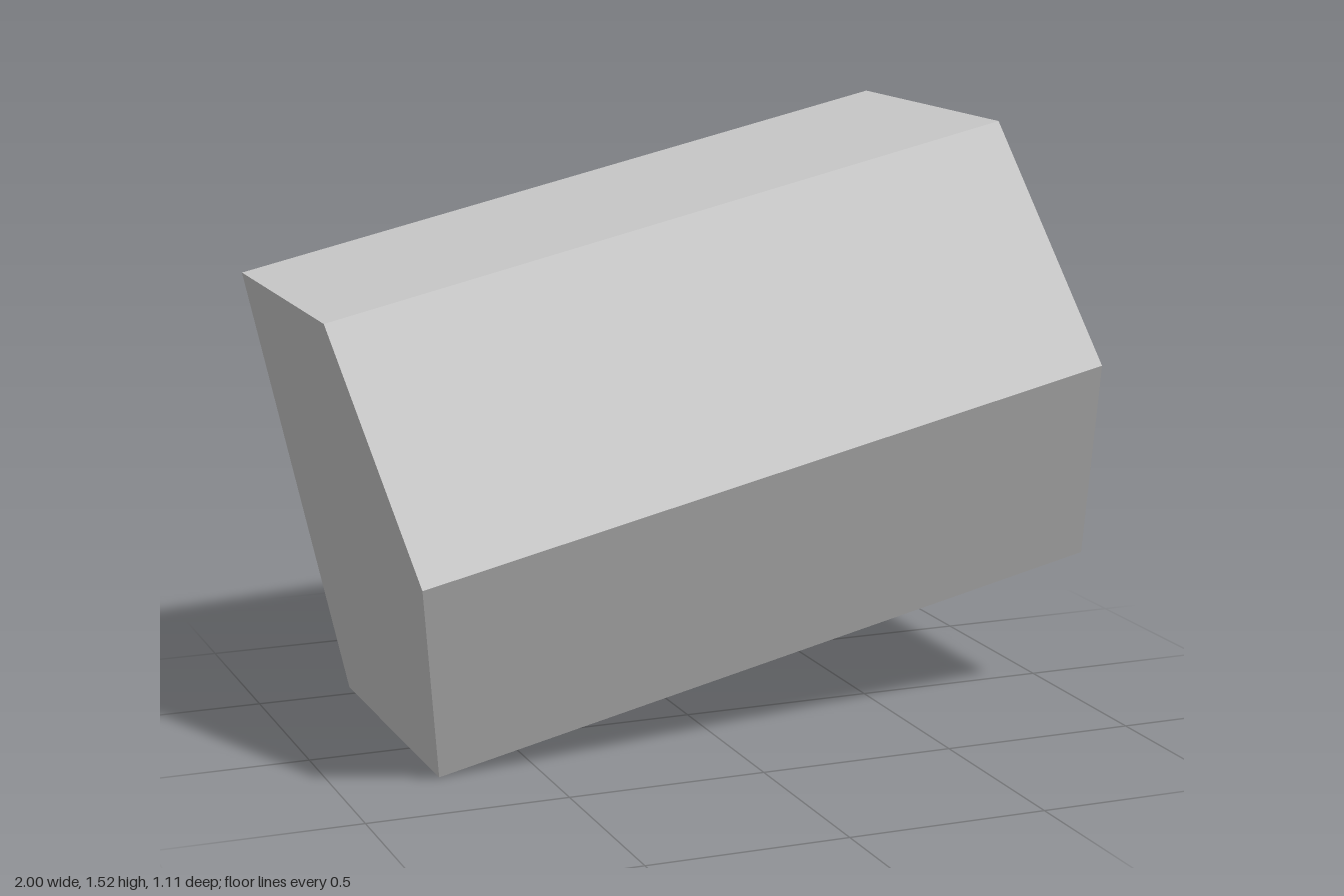
import * as THREE from 'three';

const LENGTH = 1.787, HEIGHT = 1.156, TILT = Math.atan2(0.395, 1.742);
const BACK = -0.555;

export function createModel() {
  const group = new THREE.Group();
  group.name = 'tiltedBlock';

  // Five-sided profile: flat back, top and bottom, with a ridge at the front
  const profile = [[BACK, 0], [0.245, 0], [0.555, 0.57], [0.235, HEIGHT], [BACK, HEIGHT]];
  const shape = new THREE.Shape(profile.map(([z, y]) => new THREE.Vector2(-z, y)));
  const geometry = new THREE.ExtrudeGeometry(shape, { depth: LENGTH, bevelEnabled: false });
  geometry.rotateY(Math.PI / 2);

  // The front leans back very slightly towards the upper left corner
  const pos = geometry.attributes.position;
  for (let i = 0; i < pos.count; i++) {
    if (pos.getZ(i) < 0) continue;
    const twist = (pos.getX(i) / LENGTH) * (pos.getY(i) / HEIGHT);
    pos.setZ(i, pos.getZ(i) - 0.01 * twist);
  }

  // Stand the block on its lower right edge
  geometry.rotateZ(TILT);
  geometry.translate(-0.743, 0, 0);
  geometry.computeVertexNormals();

  const block = new THREE.Mesh(
    geometry,
    new THREE.MeshStandardMaterial({ color: 0xcccccc, flatShading: true })
  );
  block.name = 'block';
  group.add(block);
  return group;
}
